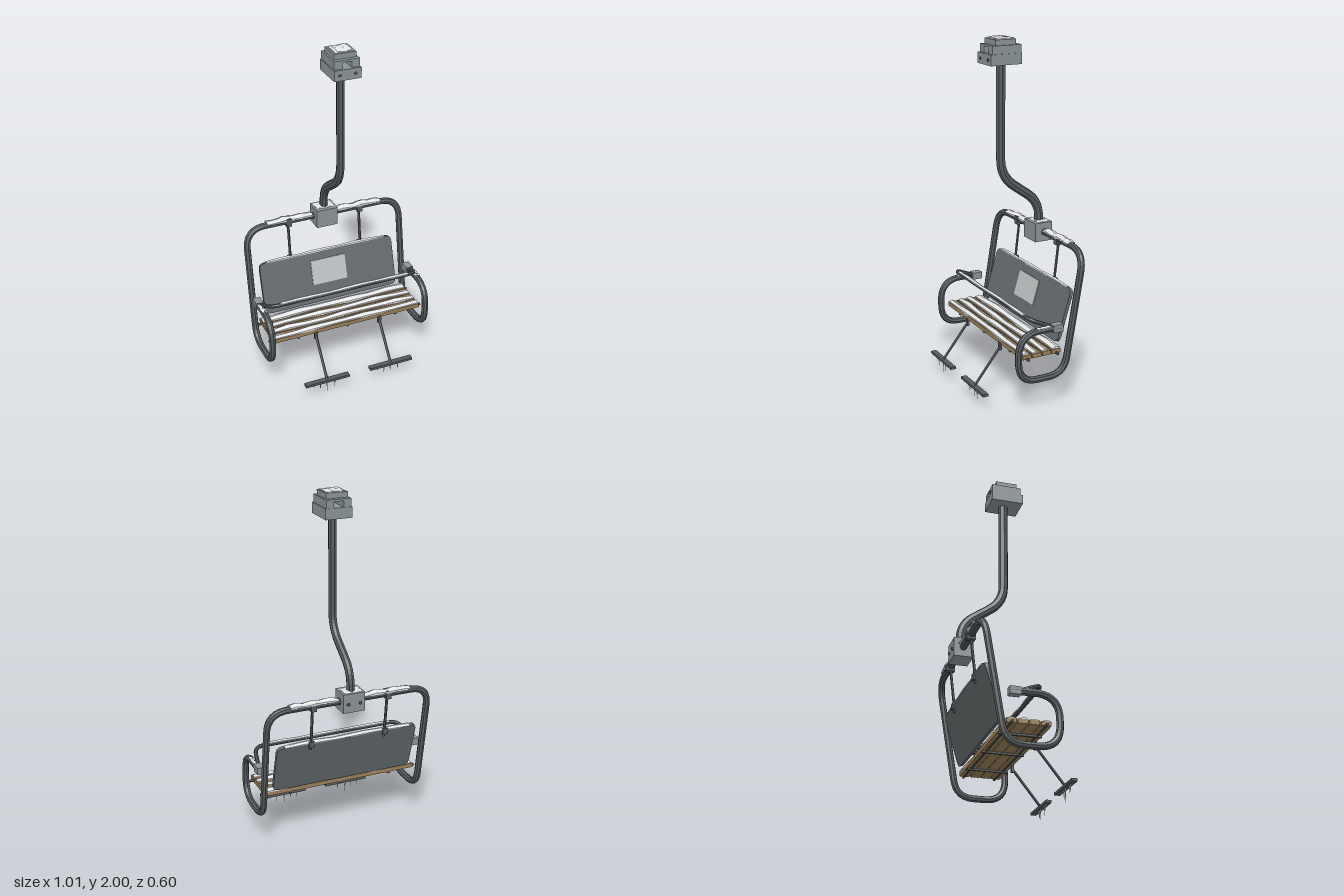
import * as THREE from 'three';

const mat = (name, color) => {
  const m = new THREE.MeshStandardMaterial({ color, flatShading: true });
  m.name = name;
  return m;
};

export function createModel() {
  const steel = mat('dark steel', 0x565b5e);
  const panel = mat('backrest grey', 0x646a6d);
  const cast = mat('cast metal', 0x8a9396);
  const wood = mat('wood', 0x9a8059);
  const snowMat = mat('snow', 0xe2e4e6);
  const plate = mat('pale plate', 0xbcc0c2);

  const model = new THREE.Group();
  model.name = 'chairlift';
  const V = (x, y, z) => new THREE.Vector3(x, y, z);

  const add = (name, geo, material, x = 0, y = 0, z = 0, parent = model) => {
    const mesh = new THREE.Mesh(geo, material);
    mesh.name = name;
    mesh.position.set(x, y, z);
    parent.add(mesh);
    return mesh;
  };
  const box = (name, w, h, d, material, x, y, z, parent) =>
    add(name, new THREE.BoxGeometry(w, h, d), material, x, y, z, parent);

  // Straight rod between two points
  const rod = (name, a, b, r, material, sides = 8) => {
    const dir = b.clone().sub(a);
    const mesh = add(name, new THREE.CylinderGeometry(r, r, dir.length(), sides), material);
    mesh.position.copy(a).add(b).multiplyScalar(0.5);
    mesh.quaternion.setFromUnitVectors(V(0, 1, 0), dir.normalize());
    return mesh;
  };

  // Pipe along a polyline whose inner corners are rounded by the given distances
  const pipe = (name, pts, rounds, r, segments, material) => {
    const path = new THREE.CurvePath();
    let from = pts[0];
    for (let i = 1; i < pts.length - 1; i++) {
      const p = pts[i], d = rounds[i - 1];
      const a = p.clone().add(pts[i - 1].clone().sub(p).setLength(d));
      const b = p.clone().add(pts[i + 1].clone().sub(p).setLength(d));
      path.add(new THREE.LineCurve3(from, a));
      path.add(new THREE.QuadraticBezierCurve3(a, p, b));
      from = b;
    }
    path.add(new THREE.LineCurve3(from, pts[pts.length - 1]));
    return add(name, new THREE.TubeGeometry(path, segments, r, 8), material);
  };

  // Uneven strip of snow lying along x, base at y = 0
  const snow = (name, length, width, height, x, y, z, seed, parent) => {
    const geo = new THREE.BoxGeometry(length, height, width, 8, 1, 2);
    const p = geo.attributes.position;
    for (let i = 0; i < p.count; i++) {
      const u = p.getX(i) / length;
      const k = 0.8 + 0.2 * Math.sin(u * 17 + seed * 2.3);
      const end = Math.abs(u) > 0.49 ? 0.6 : 1;
      const ridge = Math.abs(p.getZ(i)) < 1e-4 ? 1 : 0.45;
      p.setY(i, p.getY(i) > 0 ? height * k * end * ridge : 0);
      p.setZ(i, p.getZ(i) * (0.6 + 0.4 * k) + width * 0.08 * Math.sin(u * 11 + seed));
    }
    geo.computeVertexNormals();
    return add(name, geo, snowMat, x, y, z, parent);
  };

  // Cable grip with a slot through it
  box('gripBase', 0.154, 0.06, 0.19, cast, 0, 1.88, 0.01);
  for (const s of [-1, 1]) box('gripCheek', 0.045, 0.045, 0.175, cast, s * 0.05, 1.9325, 0.005);
  box('gripLid', 0.145, 0.012, 0.175, cast, 0, 1.95, 0.005);
  box('gripCap', 0.126, 0.03, 0.125, cast, 0, 1.971, 0.007);
  snow('gripSnow', 0.105, 0.11, 0.014, 0, 1.986, 0.007, 1);

  // Bent hanger
  const hanger = pipe('hanger',
    [V(0, 1.87, 0.005), V(0, 1.215, 0.005), V(0, 1.04, -0.243), V(0, 0.9, -0.243)],
    [0.1, 0.09], 0.028, 44, steel);
  hanger.scale.x = 0.8;

  // Bracket joining hanger and frame
  box('bracket', 0.13, 0.11, 0.11, cast, 0, 0.875, -0.24);
  snow('bracketSnow', 0.105, 0.08, 0.008, 0, 0.929, -0.245, 2);

  // Bolts on bracket and grip
  for (const s of [-1, 1]) {
    const boltGeo = new THREE.CylinderGeometry(0.009, 0.009, 0.012, 6);
    add('bracketBolt', boltGeo, steel, s * 0.035, 0.87, -0.297).rotation.x = Math.PI / 2;
    add('gripBolt', boltGeo, steel, s * 0.045, 1.88, 0.103).rotation.x = Math.PI / 2;
  }

  // Main frame: armrest loop, upright, top bar and mirrored side in one pipe
  const side = [V(0.485, 0.47, -0.1), V(0.485, 0.473, 0.158), V(0.485, 0.19, 0.158),
    V(0.485, 0.19, -0.13), V(0.485, 0.875, -0.243)];
  const mirrored = side.map(p => V(-p.x, p.y, p.z)).reverse();
  pipe('frame', [...side, ...mirrored],
    [0.13, 0.12, 0.1, 0.12, 0.12, 0.1, 0.12, 0.13], 0.02, 150, steel);

  // Safety bar
  pipe('safetyBar', [V(0.48, 0.47, -0.07), V(0.455, 0.533, 0.075),
    V(-0.455, 0.533, 0.075), V(-0.48, 0.47, -0.07)], [0.055, 0.055], 0.012, 70, steel);
  snow('safetyBarSnow', 0.8, 0.026, 0.012, 0, 0.54, 0.075, 3);

  // Backrest leaning back, with a pale plate and snow on its top edge
  const back = new THREE.Group();
  back.name = 'backrest';
  back.position.set(0, 0.345, -0.135);
  back.rotation.x = -0.29;
  model.add(back);
  const w = 0.425, h = 0.31, c = 0.035;
  const shape = new THREE.Shape();
  shape.moveTo(-w + c, 0);
  shape.lineTo(w - c, 0);
  shape.quadraticCurveTo(w, 0, w, c);
  shape.lineTo(w, h - c);
  shape.quadraticCurveTo(w, h, w - c, h);
  shape.lineTo(-w + c, h);
  shape.quadraticCurveTo(-w, h, -w, h - c);
  shape.lineTo(-w, c);
  shape.quadraticCurveTo(-w, 0, -w + c, 0);
  add('backPanel', new THREE.ExtrudeGeometry(shape, { depth: 0.02, bevelEnabled: false, curveSegments: 3 }),
    panel, 0, 0, 0, back);
  box('backPlate', 0.22, 0.15, 0.006, plate, 0, 0.185, 0.022, back);
  snow('backSnow', 0.76, 0.03, 0.016, 0, h - 0.002, 0.01, 4, back);

  // Slatted seat with snow
  for (let i = 0; i < 4; i++) {
    const z = -0.09 + i * 0.061;
    box('seatSlat', 0.93, 0.024, 0.054, wood, 0, 0.322, z);
    snow('seatSnow', 0.92, i === 0 ? 0.052 : 0.038, 0.025, 0, 0.333, z + (i === 0 ? 0 : 0.006), i * 1.7);
  }
  for (const x of [-0.31, 0, 0.31]) box('seatBatten', 0.014, 0.012, 0.235, steel, x, 0.306, 0.002);
  for (const z of [-0.09, 0.093]) rod('seatRail', V(-0.485, 0.312, z), V(0.485, 0.312, z), 0.008, steel, 6);

  for (const s of [-1, 1]) {
    // Safety bar pivots and armrest snow
    box('pivotBlock', 0.045, 0.042, 0.06, cast, s * 0.482, 0.47, -0.08);
    const armSnow = snow('armSnow', 0.085, 0.03, 0.01, s * 0.487, 0.484, 0.005, s);
    armSnow.rotation.y = Math.PI / 2;

    // Backrest hangers and clamps
    rod('backRod', V(s * 0.225, 0.87, -0.243), V(s * 0.225, 0.6, -0.212), 0.008, steel, 6);
    box('topClamp', 0.032, 0.05, 0.048, steel, s * 0.225, 0.872, -0.243);
    box('backClamp', 0.032, 0.035, 0.022, steel, s * 0.225, 0.635, -0.22);
    snow('topBarSnow', 0.28, 0.056, 0.026, s * 0.218, 0.885, -0.243, s * 2 + 1);

    // Footrest with icicles
    box('footBracket', 0.02, 0.045, 0.015, steel, s * 0.203, 0.295, 0.118);
    rod('footRod', V(s * 0.203, 0.29, 0.12), V(s * 0.203, 0.085, 0.283), 0.008, steel, 6);
    box('footrest', 0.272, 0.015, 0.032, steel, s * 0.203, 0.085, 0.282);
    [[-0.08, 0.035], [-0.045, 0.05], [0, 0.08], [0.045, 0.055]].forEach(([dx, len], i) => {
      const l = s > 0 && i === 2 ? len - 0.015 : len;
      const icicle = add('icicle', new THREE.ConeGeometry(0.005, l, 5), snowMat,
        s * 0.203 + dx, 0.08 - l / 2, 0.28 + (i % 2) * 0.008);
      icicle.rotation.x = Math.PI;
    });
  }
  return model;
}
